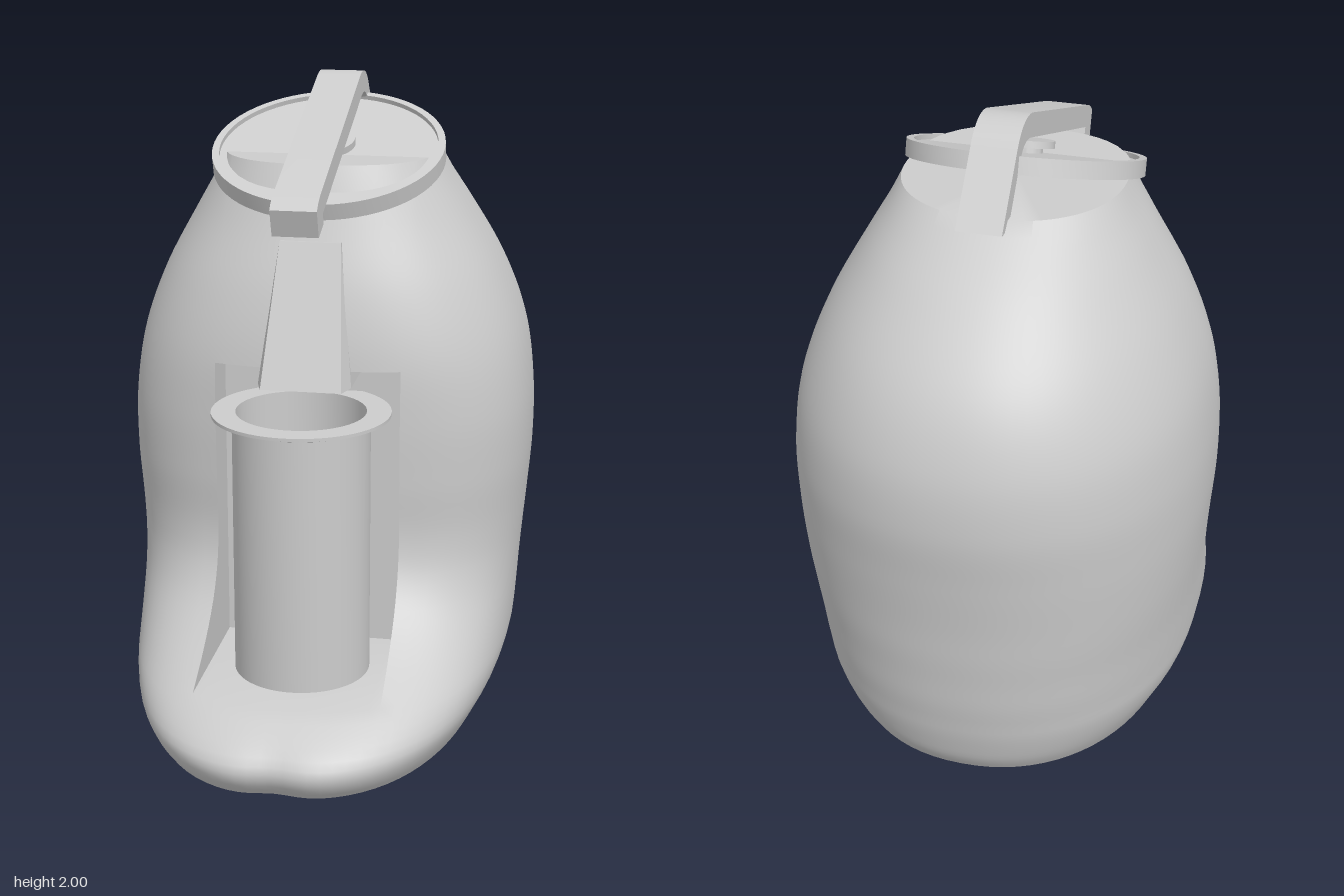
import * as THREE from 'three';
import { toCreasedNormals } from 'three/addons/utils/BufferGeometryUtils.js';
import { ConvexGeometry } from 'three/addons/geometries/ConvexGeometry.js';

const grey = new THREE.MeshStandardMaterial({ color: 0xcccccc });
grey.name = 'plain grey';

// Body sections: y, front z, back z, half width, z of widest point, front squareness
const SECTIONS = [
  [0, 0.93, -0.8, 0.535, -0.1, 2.4],
  [0.05, 0.972, -0.83, 0.56, -0.1, 2.4],
  [0.11, 0.975, -0.85, 0.59, -0.1, 2.4],
  [0.18, 0.88, -0.868, 0.612, -0.1, 2.4],
  [0.22, 0.8, -0.875, 0.617, -0.1, 2.4],
  [0.3, 0.64, -0.89, 0.622, -0.12, 2.5],
  [0.4, 0.5, -0.902, 0.627, -0.15, 2.6],
  [0.5, 0.425, -0.915, 0.634, -0.18, 2.7],
  [0.6, 0.395, -0.925, 0.642, -0.2, 2.8],
  [0.8, 0.4, -0.95, 0.656, -0.2, 2.8],
  [1.0, 0.405, -0.97, 0.652, -0.2, 2.8],
  [1.2, 0.4, -0.948, 0.62, -0.2, 2.7],
  [1.4, 0.36, -0.86, 0.545, -0.18, 2.6],
  [1.6, 0.288, -0.68, 0.435, -0.15, 2.5],
  [1.7, 0.25, -0.56, 0.377, -0.13, 2.5],
  [1.77, 0.22, -0.47, 0.342, -0.125, 2.5],
];
const NICHE = { half: 0.29, floor: 0.22, top: 1.17, back: 0.24 };
const section = new THREE.CubicInterpolant(
  SECTIONS.map((s) => s[0]), SECTIONS.flatMap((s) => s.slice(1)), 5);

// One horizontal ring, running +x, front, -x, back
function ring(y, carved) {
  const [front, back, w, zc, n] = section.evaluate(y);
  const notch = 0.022 * (1 - THREE.MathUtils.smoothstep(y, 0.1, 0.22));
  const pts = [];
  const frontZ = (x) => zc + (front - zc) * Math.max(0, 1 - Math.abs(x / w) ** n) ** (1 / n)
    - notch * Math.exp(-((x / 0.08) ** 2));
  const SIDE = 14, MID = 16, BACK = 40;
  const limit = Math.acos((NICHE.half / w) ** (n / 2));
  const side = [];
  for (let i = 0; i <= SIDE; i++) side.push(w * Math.cos(limit * i / SIDE) ** (2 / n));
  side.forEach((x) => pts.push([x, y, frontZ(x)]));
  for (let i = 0; i <= MID; i++) {
    const x = NICHE.half * (1 - 2 * i / MID), z = frontZ(x);
    pts.push([x, y, carved ? Math.min(z, NICHE.back) : z]);
  }
  side.reverse().forEach((x) => pts.push([-x, y, frontZ(x)]));
  for (let i = 1; i < BACK; i++) {
    const a = Math.PI * i / BACK, c = Math.cos(a), e = 2 / 2.15;
    pts.push([-w * Math.sign(c) * Math.abs(c) ** e, y, zc - (zc - back) * Math.sin(a) ** e]);
  }
  return pts;
}

// Lofted body with a carved niche and flat ends
function bodyGeometry() {
  const rows = [];
  const span = (y0, y1, steps, carved) => {
    for (let i = 0; i <= steps; i++) rows.push(ring(y0 + (y1 - y0) * i / steps, carved));
  };
  span(0, NICHE.floor, 10, false);
  span(NICHE.floor, NICHE.top, 30, true);
  span(NICHE.top, 1.77, 18, false);
  const count = rows[0].length, pos = rows.flat(2), index = [];
  for (let r = 0; r < rows.length - 1; r++) {
    for (let i = 0; i < count; i++) {
      const a = r * count + i, b = r * count + (i + 1) % count;
      index.push(a, b + count, b, a, a + count, b + count);
    }
  }
  const base = rows.length * count, last = base - count;
  pos.push(0, 0, -0.1, 0, 1.77, -0.125);
  for (let i = 0; i < count; i++) {
    const j = (i + 1) % count;
    index.push(base, i, j, base + 1, last + j, last + i);
  }
  const g = new THREE.BufferGeometry();
  g.setAttribute('position', new THREE.Float32BufferAttribute(pos, 3));
  g.setIndex(index);
  return toCreasedNormals(g, 0.7);
}

// Turned part with sharp rims
function lathe(points, segments = 64) {
  const g = new THREE.LatheGeometry(points.map(([r, y]) => new THREE.Vector2(r, y)), segments);
  return toCreasedNormals(g, 0.5);
}

export function createModel() {
  const model = new THREE.Group();
  const add = (name, geometry, parent = model) => {
    const mesh = new THREE.Mesh(geometry, grey);
    mesh.name = name;
    parent.add(mesh);
    return mesh;
  };

  add('body', bodyGeometry());

  // Hollow cup with a flared rim, standing in the niche
  add('cup', lathe([[0, 0.222], [0.212, 0.222], [0.212, 1.03], [0.275, 1.052], [0.275, 1.062],
    [0.2, 1.062], [0.2, 0.25], [0, 0.25]])).position.z = 0.47;

  // Tapered spout over the cup
  const spout = [];
  for (const s of [-1, 1]) {
    spout.push([s * 0.145, 1.125, 0.24], [s * 0.145, 1.125, 0.42], [s * 0.125, 1.125, 0.485],
      [s * 0.095, 1.55, 0.24], [s * 0.095, 1.55, 0.318]);
  }
  add('spout', new ConvexGeometry(spout.map((p) => new THREE.Vector3(...p))));

  // Tilted lid with a raised rim and a centre knob
  const lid = new THREE.Group();
  lid.name = 'lid';
  lid.position.set(0, 1.77, -0.005);
  lid.rotation.x = 0.34;
  model.add(lid);
  add('lidPlate', lathe([[0, -0.027], [0.37, -0.027], [0.37, 0.027], [0.347, 0.027],
    [0.347, 0.012], [0, 0.012]]), lid);
  add('lidKnob', lathe([[0, 0.01], [0.05, 0.01], [0.05, 0.03], [0.086, 0.03],
    [0.086, 0.052], [0, 0.052]], 40), lid);

  // Bent lever handle, drawn in side profile
  const s = new THREE.Shape();
  s.moveTo(0.55, 1.615);
  s.lineTo(0.58, 1.698);
  s.quadraticCurveTo(0.555, 1.727, 0.51, 1.742);
  s.lineTo(-0.19, 1.993);
  s.bezierCurveTo(-0.26, 2.012, -0.32, 1.99, -0.36, 1.94);
  s.lineTo(-0.525, 1.748);
  s.lineTo(-0.46, 1.74);
  s.lineTo(-0.325, 1.9);
  s.quadraticCurveTo(-0.28, 1.945, -0.21, 1.922);
  s.lineTo(0.485, 1.674);
  s.lineTo(0.472, 1.642);
  s.closePath();
  const handle = new THREE.ExtrudeGeometry(s, { depth: 0.14, bevelEnabled: false, curveSegments: 10 });
  handle.translate(0, 0, -0.07).rotateY(-Math.PI / 2);
  add('handle', toCreasedNormals(handle, 0.5));

  return model;
}
